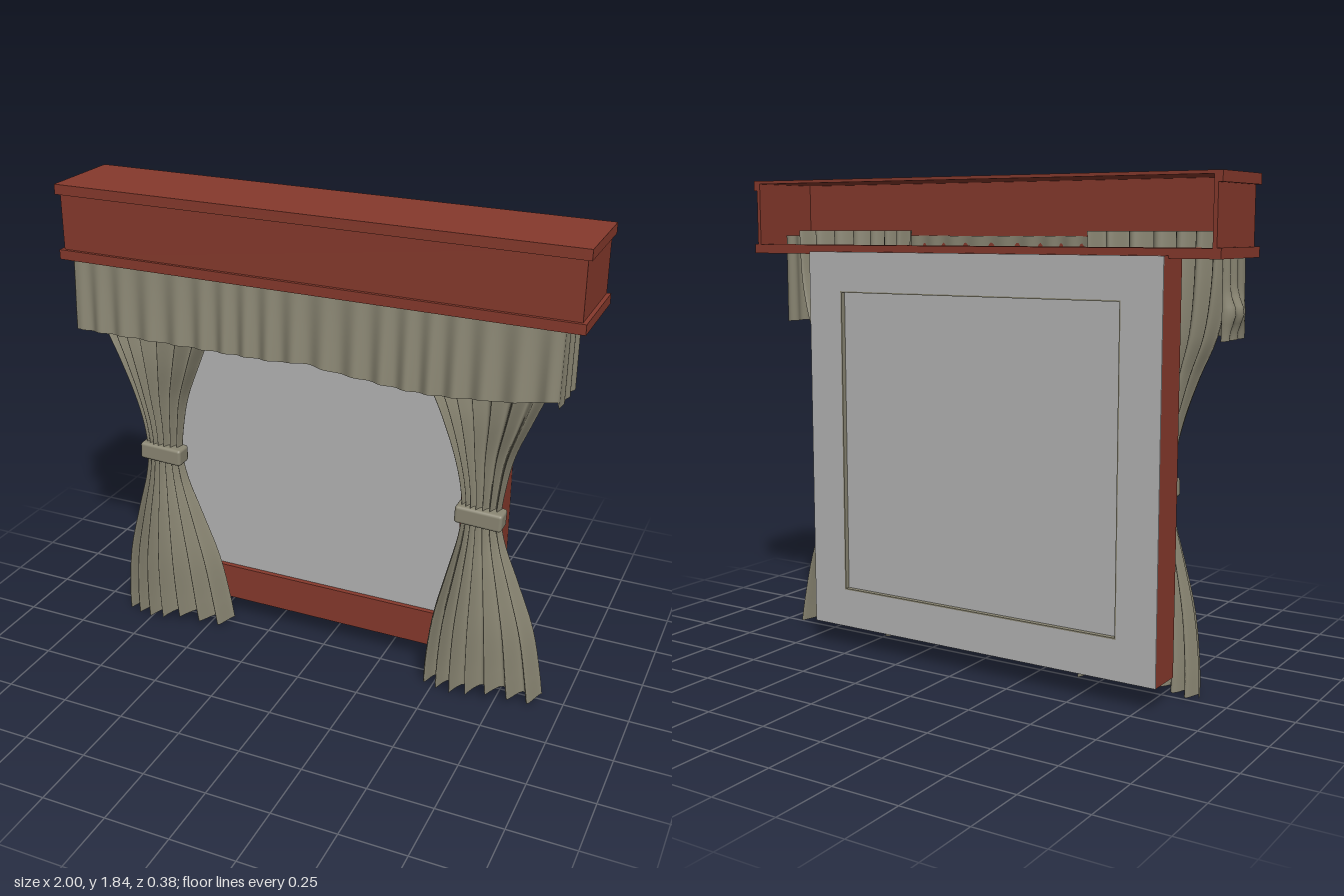
import * as THREE from 'three';
import { ParametricGeometry } from 'three/addons/geometries/ParametricGeometry.js';
import { RoundedBoxGeometry } from 'three/addons/geometries/RoundedBoxGeometry.js';

const mat = (name, color, side = THREE.FrontSide) => {
  const m = new THREE.MeshStandardMaterial({ color, side });
  m.name = name;
  return m;
};

export function createModel() {
  const wood = mat('red wood', 0x86392c);
  const glass = mat('grey glass', 0xb4b4b4);
  const cloth = mat('beige cloth', 0x8a8673, THREE.DoubleSide);
  const model = new THREE.Group();

  const add = (name, geometry, material, parent = model) => {
    const mesh = new THREE.Mesh(geometry, material);
    mesh.name = name;
    parent.add(mesh);
    return mesh;
  };
  // Box given by its lower and upper corners
  const box = (name, a, b, material, parent) => {
    const m = add(name, new THREE.BoxGeometry(b[0] - a[0], b[1] - a[1], b[2] - a[2]), material, parent);
    m.position.set((a[0] + b[0]) / 2, (a[1] + b[1]) / 2, (a[2] + b[2]) / 2);
    return m;
  };
  const rect = (C, x0, y0, x1, y1) => {
    const s = new C();
    s.moveTo(x0, y0); s.lineTo(x1, y0); s.lineTo(x1, y1); s.lineTo(x0, y1); s.closePath();
    return s;
  };
  // Rectangular ring in the xy plane, from z0 to z1
  const ring = (name, outer, inner, z0, z1, material, parent) => {
    const s = rect(THREE.Shape, ...outer);
    s.holes.push(rect(THREE.Path, ...inner));
    const m = add(name, new THREE.ExtrudeGeometry(s, { depth: z1 - z0, bevelEnabled: false }), material, parent);
    m.position.z = z0;
  };

  // Pelmet: open at the back, with a slot below for the cloth
  const pelmet = new THREE.Group();
  pelmet.name = 'pelmet';
  model.add(pelmet);
  box('pelmetTop', [-0.99, 1.833, -0.155], [0.99, 1.845, 0.175], wood, pelmet);
  box('pelmetFront', [-0.985, 1.57, 0.155], [0.985, 1.84, 0.172], wood, pelmet);
  box('pelmetBackLedge', [-0.98, 1.56, -0.155], [0.98, 1.595, -0.05], wood, pelmet);
  for (const s of [-1, 1]) {
    const end = (name, x0, x1, y0, y1, z1) =>
      box(name, [Math.min(s * x0, s * x1), y0, -0.155], [Math.max(s * x0, s * x1), y1, z1], wood, pelmet);
    end('pelmetEnd', 0.97, 0.985, 1.57, 1.84, 0.172);
    end('pelmetLowerEndTrim', 0.975, 1, 1.56, 1.597, 0.185);
    end('pelmetUpperEndTrim', 0.975, 1, 1.807, 1.845, 0.185);
  }
  box('pelmetLowerTrim', [-0.99, 1.56, 0.16], [0.99, 1.597, 0.185], wood, pelmet);
  box('pelmetUpperTrim', [-0.99, 1.807, 0.16], [0.99, 1.845, 0.185], wood, pelmet);

  // Window: wooden frame, grey pane, grey backing and a thin lining
  const windowGroup = new THREE.Group();
  windowGroup.name = 'window';
  model.add(windowGroup);
  const outer = [-0.815, 0.09, 0.69, 1.57], hole = [-0.66, 0.24, 0.54, 1.42];
  ring('windowFrame', outer, hole, -0.186, -0.045, wood, windowGroup);
  ring('frameBacking', outer, hole, -0.19, -0.186, glass, windowGroup);
  ring('paneLining', hole, [-0.655, 0.245, 0.535, 1.415], -0.19, -0.168, cloth, windowGroup);
  box('windowPane', [-0.66, 0.24, -0.17], [0.54, 1.42, -0.065], glass, windowGroup);

  // Curtain outline by height: y, left x, right x, back z, front z
  const rows = [
    [0, -0.88, -0.42, -0.03, 0.12], [0.1, -0.875, -0.433, -0.025, 0.125], [0.3, -0.85, -0.47, -0.012, 0.125],
    [0.5, -0.805, -0.54, 0, 0.095], [0.65, -0.772, -0.598, 0.003, 0.063], [0.75, -0.762, -0.617, 0.003, 0.055],
    [0.87, -0.772, -0.606, 0.003, 0.062], [1.0, -0.8, -0.58, 0, 0.082], [1.15, -0.85, -0.522, 0, 0.105],
    [1.29, -0.91, -0.468, 0, 0.112], [1.45, -0.94, -0.435, 0, 0.112], [1.65, -0.95, -0.425, 0, 0.112],
  ];
  const track = (k) => new THREE.CatmullRomCurve3(rows.map((r) => new THREE.Vector3(r[0], r[k], r[k + 1])));
  const sides = track(1), depths = track(3);
  const a = new THREE.Vector3(), d = new THREE.Vector3();
  const curtainSheet = new ParametricGeometry((u, v, out) => {
    sides.getPoint(v, a);
    depths.getPoint(v, d);
    const phase = 2 * Math.PI * (7 * u + 0.25 * Math.sin(5 * u));
    const pleat = 0.5 + 0.5 * Math.sin(phase);
    const bow = Math.sin(Math.PI * Math.min(1, 0.12 + 0.85 * u));
    const sway = 0.012 * Math.cos(phase + 0.6) * Math.sin(Math.PI * u);
    const w = a.z - a.y;
    const lift = Math.pow(1 - v, 10) * (0.035 * Math.exp(-Math.pow((u - 0.62) / 0.22, 2)) + 0.008 * u);
    out.set(a.y + w * (u + sway * 1.6), a.x + lift, d.y + (d.z - d.y) * (0.5 * bow + 0.5 * pleat));
  }, 112, 44);

  for (const [side, x] of [['right', 0], ['left', 1.33]]) {
    const g = new THREE.Group();
    g.name = side + 'Curtain';
    g.position.x = x;
    model.add(g);
    add('curtainCloth', curtainSheet, cloth, g);
    const tie = add('tieback', new RoundedBoxGeometry(0.182, 0.07, 0.074, 2, 0.012), cloth, g);
    tie.position.set(-0.69, 0.752, 0.027);
    tie.rotation.z = -0.04;
  }

  // Valance: one gathered strip along the front, with a return at each end
  const ret = 0.2, span = 1.895, total = span + 2 * ret;
  const valance = new ParametricGeometry((u, v, out) => {
    const s = u * total, drop = 1 - v;
    let x, z, hem = 1.282;
    if (s < ret || s > total - ret) {
      const left = s > total - ret;
      const t = (left ? total - s : s) / ret;
      const wave = 0.014 * Math.sin(t * Math.PI * 6) * (1 - t * t);
      const flare = left ? 0 : 0.028 * Math.exp(-Math.pow((v - 0.27) / 0.14, 2)) * Math.sin(Math.PI * t);
      x = left ? 0.93 + wave * 0.4 : -0.962 + wave * 0.5 - flare;
      z = -0.045 + t * (0.195 + 0.018 * drop);
    } else {
      const f = s - ret;
      x = -0.965 + f;
      const edge = Math.min(1, f / 0.05, (span - f) / 0.05);
      const wave = Math.sin(f * 62 + 1.2 * Math.sin(f * 9));
      z = 0.15 + 0.018 * drop + edge * wave * (0.003 + 0.009 * drop);
      hem += 0.012 * Math.exp(-Math.pow(x / 0.08, 2))
        - 0.026 * Math.exp(-Math.pow((x - 0.45) / 0.25, 2))
        + 0.025 * Math.max(0, (x - 0.75) / 0.18) + 0.003 * wave;
    }
    out.set(x, hem + (1.63 - hem) * v, z);
  }, 300, 12);
  add('valance', valance, cloth);

  return model;
}
